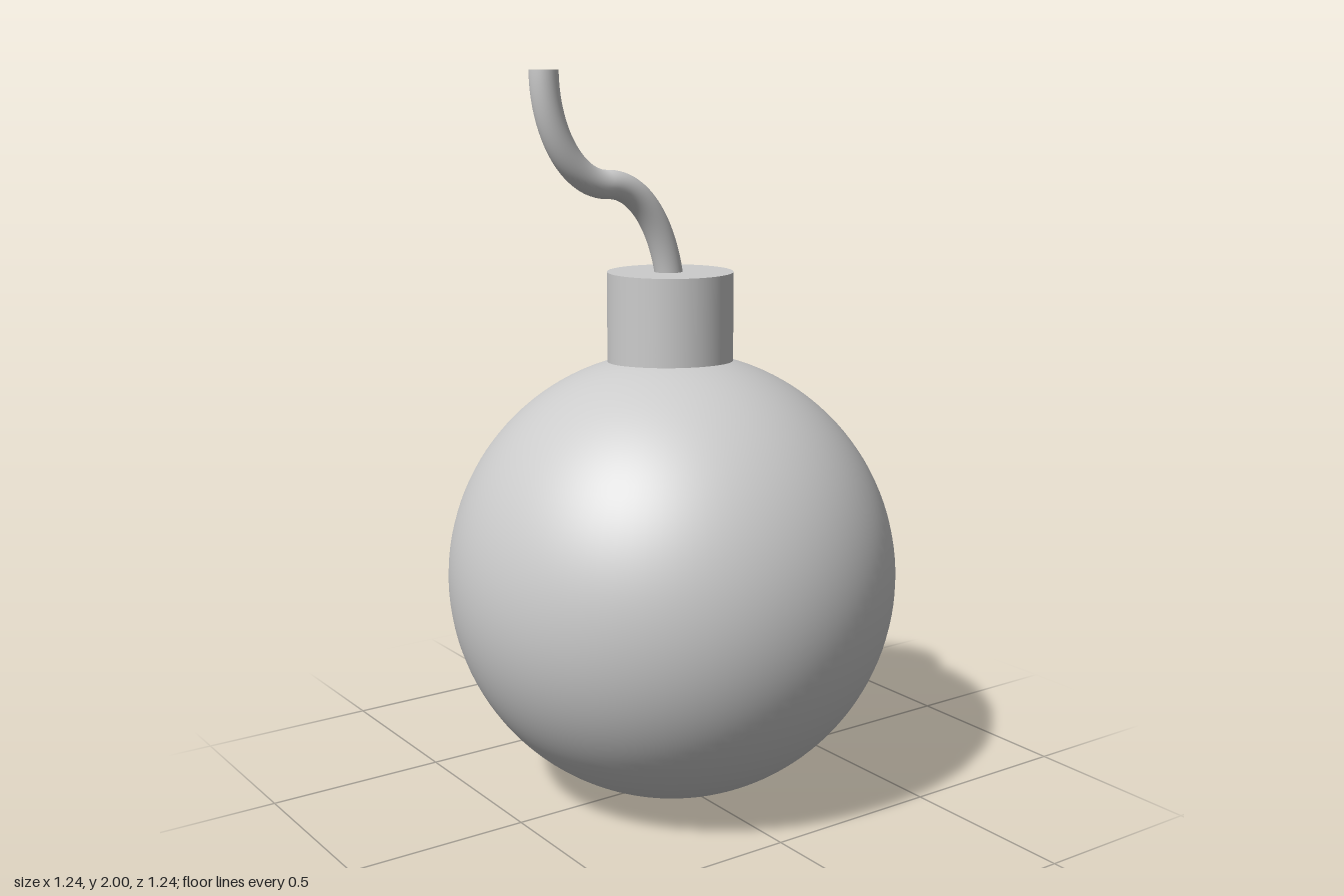
import * as THREE from 'three';

export function createModel() {
  const model = new THREE.Group();
  const material = new THREE.MeshStandardMaterial({ color: 0xcccccc });
  const add = (name, geometry, x, y, z) => {
    const mesh = new THREE.Mesh(geometry, material);
    mesh.name = name;
    mesh.position.set(x, y, z);
    model.add(mesh);
    return mesh;
  };

  // Round body
  add('body', new THREE.SphereGeometry(0.62, 96, 64), 0, 0.625, 0);

  // Short neck, slightly off centre, sunk into the body
  const neckX = 0.014, fuseZ = -0.028, neckTop = 1.465, neckHeight = 0.35;
  add('neck', new THREE.CylinderGeometry(0.172, 0.172, neckHeight, 64), neckX, neckTop - neckHeight / 2, fuseZ);

  // S-shaped fuse: rises, levels out, then rises again
  const v = (x, y) => new THREE.Vector3(x, y, 0);
  const path = new THREE.CurvePath();
  path.add(new THREE.LineCurve3(v(0.01, 1.40), v(0.01, 1.455)));
  path.add(new THREE.CubicBezierCurve3(v(0.01, 1.455), v(-0.015, 1.6), v(-0.09, 1.705), v(-0.185, 1.706)));
  path.add(new THREE.CubicBezierCurve3(v(-0.185, 1.706), v(-0.29, 1.707), v(-0.375, 1.84), v(-0.375, 2)));
  const fuseRadius = 0.038;
  add('fuse', new THREE.TubeGeometry(path, 80, fuseRadius, 32), 0, 0, fuseZ);

  // Flat end of the fuse
  add('fuseTip', new THREE.CircleGeometry(fuseRadius, 32), -0.375, 2, fuseZ).rotation.x = -Math.PI / 2;

  return model;
}
